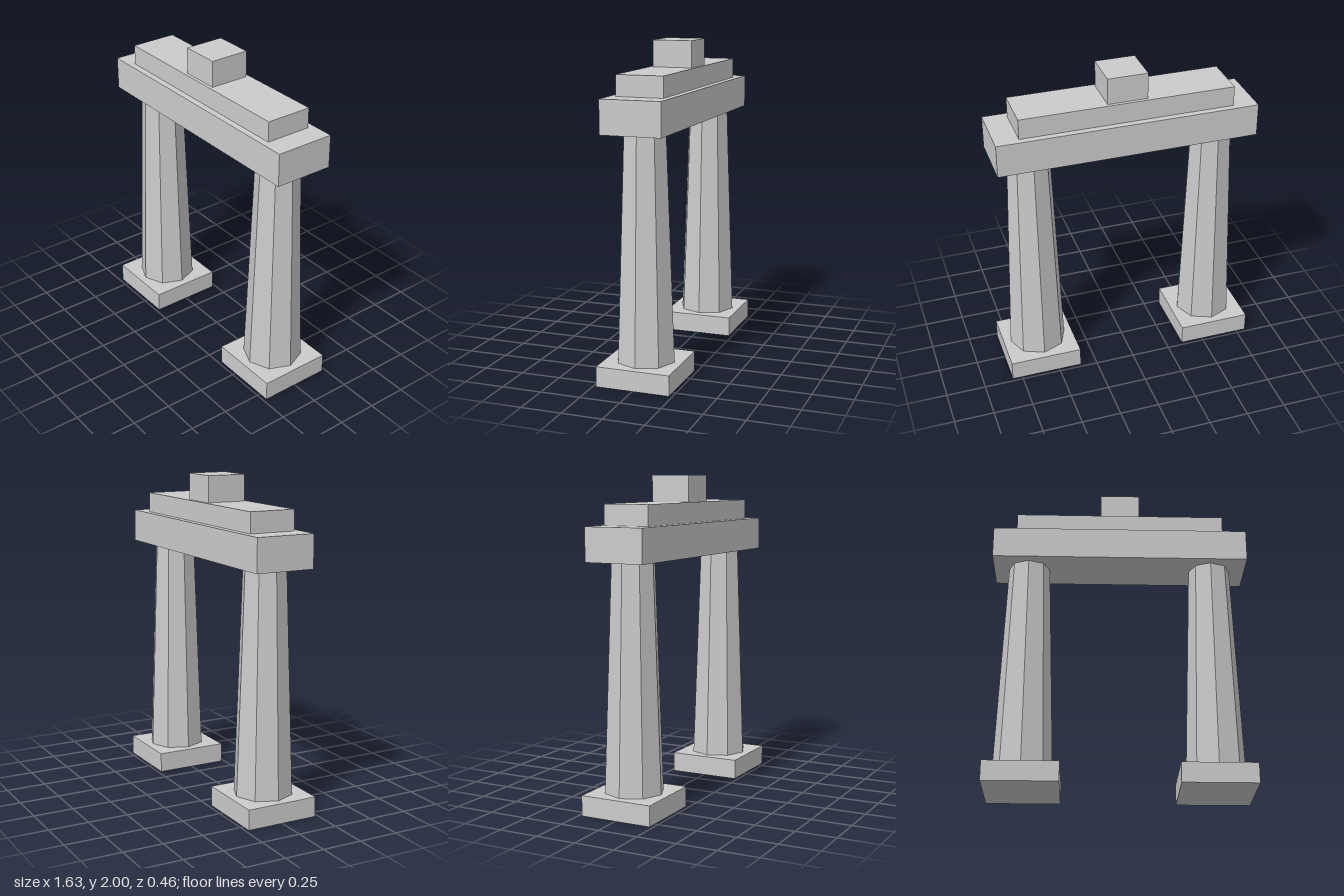
import * as THREE from 'three';

export function createModel() {
  const model = new THREE.Group();
  model.name = 'gateway';
  const stone = new THREE.MeshStandardMaterial({ color: 0xcccccc, flatShading: true });

  // Adds a part whose underside sits at height y
  const add = (parent, name, geometry, height, y) => {
    const mesh = new THREE.Mesh(geometry, stone);
    mesh.name = name;
    mesh.position.y = y + height / 2;
    parent.add(mesh);
  };
  const slab = (parent, name, width, depth, y0, y1) =>
    add(parent, name, new THREE.BoxGeometry(width, y1 - y0, depth), y1 - y0, y0);

  // Two tapered octagonal columns on square plinths
  for (const [name, side] of [['leftPillar', 1], ['rightPillar', -1]]) {
    const pillar = new THREE.Group();
    pillar.name = name;
    pillar.position.x = side * 0.584;
    slab(pillar, 'plinth', 0.458, 0.458, 0, 0.125);
    add(pillar, 'column', new THREE.CylinderGeometry(0.132, 0.182, 1.38, 8), 1.38, 0.125);
    model.add(pillar);
  }

  // Stacked lintel, upper tier and crowning block
  slab(model, 'lintel', 1.626, 0.374, 1.505, 1.71);
  slab(model, 'upperTier', 1.334, 0.292, 1.71, 1.836);
  slab(model, 'crownBlock', 0.25, 0.25, 1.836, 2);

  return model;
}
